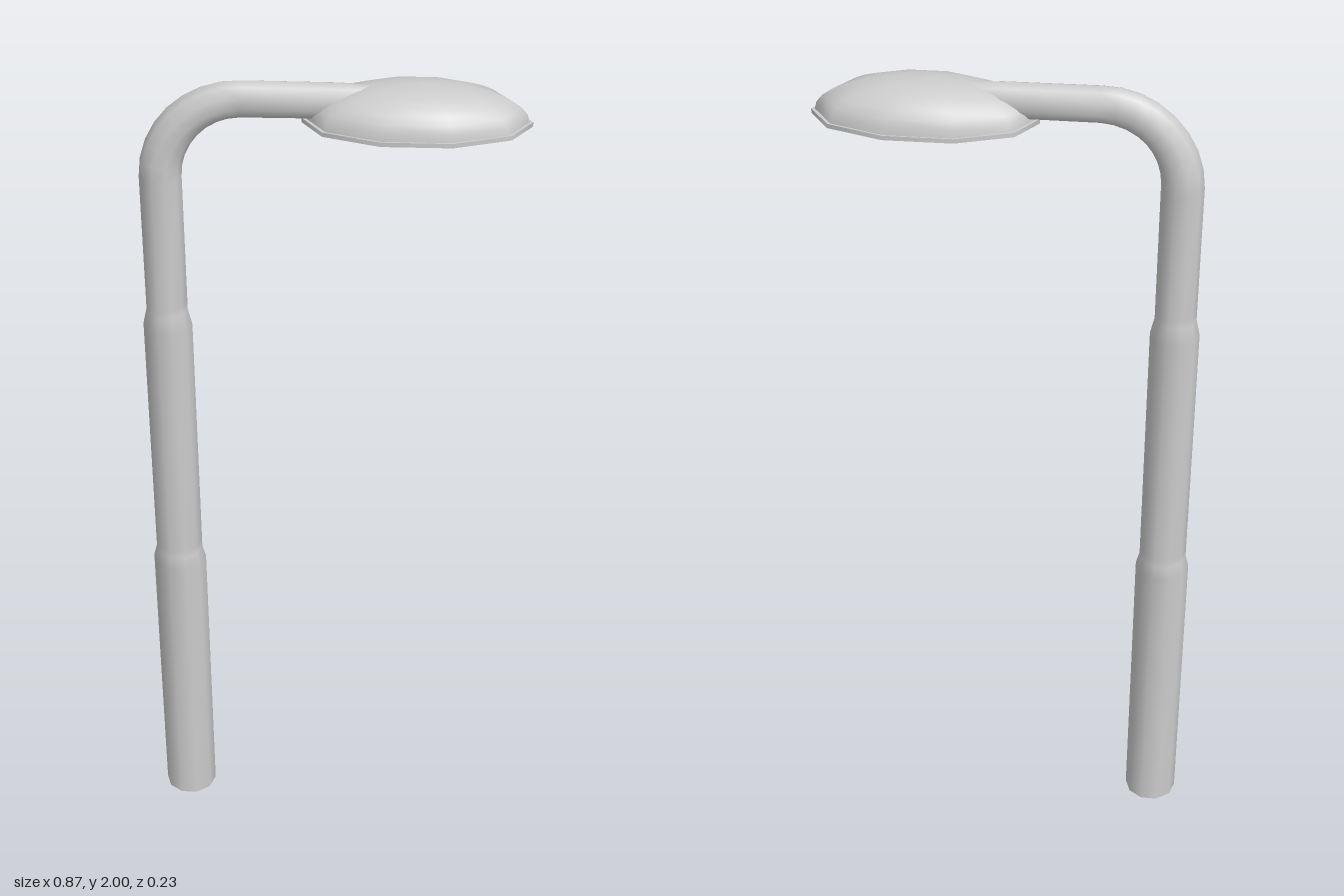
import * as THREE from 'three';

const SIDES = 10;
const material = new THREE.MeshStandardMaterial({ color: 0xcccccc, side: THREE.DoubleSide });

// Sweep an elliptical ring along a path in the xy plane.
// Each station: [x, y, direction angle, in-plane radius, z radius]
function sweep(stations) {
  const positions = [], index = [];
  for (const [x, y, angle, r, rz] of stations) {
    for (let i = 0; i < SIDES; i++) {
      const t = (i / SIDES) * Math.PI * 2;
      const u = Math.cos(t) * r;
      positions.push(x + u * Math.sin(angle), y - u * Math.cos(angle), Math.sin(t) * rz);
    }
  }
  for (let s = 0; s < stations.length - 1; s++) {
    for (let i = 0; i < SIDES; i++) {
      const j = (i + 1) % SIDES;
      const a = s * SIDES + i, b = s * SIDES + j, c = a + SIDES, d = b + SIDES;
      index.push(a, c, b, b, c, d);
    }
  }
  const geometry = new THREE.BufferGeometry();
  geometry.setAttribute('position', new THREE.Float32BufferAttribute(positions, 3));
  geometry.setIndex(index);
  geometry.computeVertexNormals();
  return geometry;
}

// Ten-sided lathe stretched into an oval, with corners on the x axis
function oval(profile, rx, rz) {
  const points = profile.map(([r, y]) => new THREE.Vector2(r, y));
  return new THREE.LatheGeometry(points, SIDES, Math.PI / 2).scale(rx, 1, rz);
}

// Quarter-round profile from radius 1 at y0 to the centre at y1
function quarter(y0, y1, steps) {
  return Array.from({ length: steps + 1 }, (_, i) => {
    const t = (i / steps) * Math.PI / 2;
    return [i === steps ? 0 : Math.cos(t), y0 + (y1 - y0) * Math.sin(t)];
  });
}

export function createModel() {
  const group = new THREE.Group();
  const add = (name, geometry, x = 0) => {
    const mesh = new THREE.Mesh(geometry, material);
    mesh.name = name;
    mesh.position.x = x;
    group.add(mesh);
  };

  // Stepped pole, open at the bottom
  const poleX = -0.37, up = Math.PI / 2;
  const stations = [
    [0, 0.064], [0.74, 0.064], [0.77, 0.056], [0.79, 0.056],
    [1.4, 0.056], [1.44, 0.047], [1.46, 0.047],
  ].map(([y, r]) => [poleX, y, up, r, r]);

  // Bend, narrowing sideways into the arm
  const bend = 8;
  for (let i = 0; i <= bend; i++) {
    const k = i / bend, t = k * Math.PI / 2;
    stations.push([
      -0.19 - 0.18 * Math.cos(t), 1.77 + 0.185 * Math.sin(t), up - t,
      0.047 - 0.005 * k, 0.046 - 0.014 * k,
    ]);
  }
  // Arm, ending inside the lamp head
  stations.push([0.02, 1.955, 0, 0.041, 0.032], [0.11, 1.955, 0, 0.036, 0.022]);
  add('poleAndArm', sweep(stations));

  // Lamp head
  const headX = 0.185;
  add('headDome', oval(quarter(1.914, 2, 8), 0.238, 0.116), headX);
  add('headRim', oval([[1, 1.904], [1, 1.914]], 0.246, 0.12), headX);
  add('headRimTop', oval([[1, 1.914], [0.96, 1.914]], 0.246, 0.12), headX);
  add('headUnderside', oval([[0, 1.904], [1, 1.904]], 0.246, 0.12), headX);
  add('lens', oval(quarter(1.904, 1.866, 5).reverse(), 0.167, 0.08), headX);
  return group;
}
